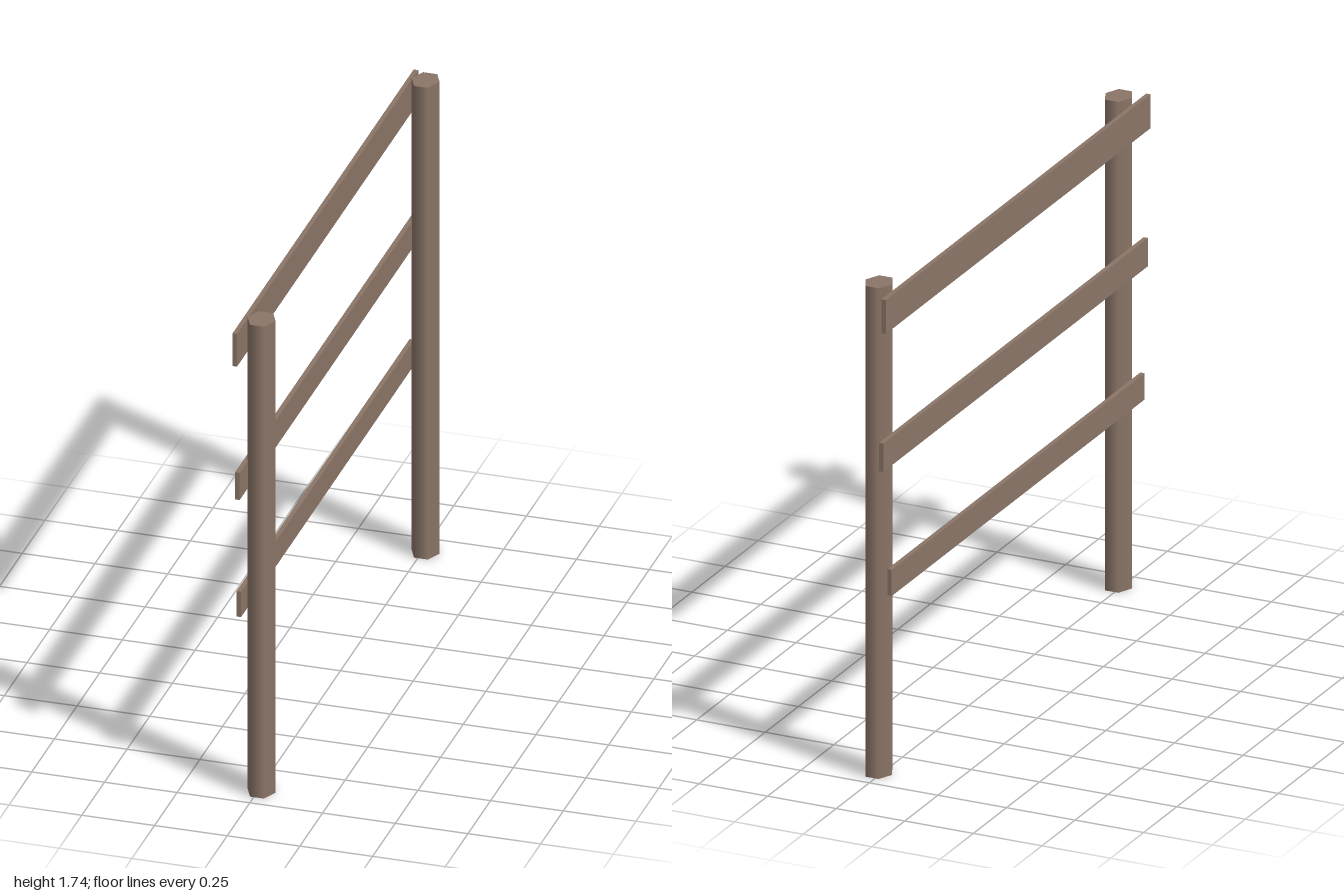
import * as THREE from 'three';

export function createModel() {
  const fence = new THREE.Group();
  fence.name = 'fence';
  const wood = new THREE.MeshStandardMaterial({ color: 0x8c7668 });
  wood.name = 'weathered wood';

  // Two six-sided posts, slightly wider along the fence line
  const postGeometry = new THREE.CylinderGeometry(0.048, 0.048, 1.738, 6, 1, false, Math.PI / 2);
  postGeometry.scale(1, 1, 1.25);
  for (const [name, z] of [['frontPost', 0.905], ['backPost', -0.905]]) {
    const post = new THREE.Mesh(postGeometry, wood);
    post.name = name;
    post.position.set(0.011, 0.869, z);
    fence.add(post);
  }

  // Three planks fixed to the outer side of the posts
  const rails = [
    { name: 'topRail', x: -0.052, y: 1.66, height: 0.12, length: 2 },
    { name: 'middleRail', x: -0.043, y: 1.16, height: 0.1, length: 2 },
    { name: 'bottomRail', x: -0.052, y: 0.702, height: 0.093, length: 1.91 },
  ];
  for (const { name, x, y, height, length } of rails) {
    const rail = new THREE.Mesh(new THREE.BoxGeometry(0.016, height, length), wood);
    rail.name = name;
    rail.position.set(x, y, 0);
    fence.add(rail);
  }
  return fence;
}
